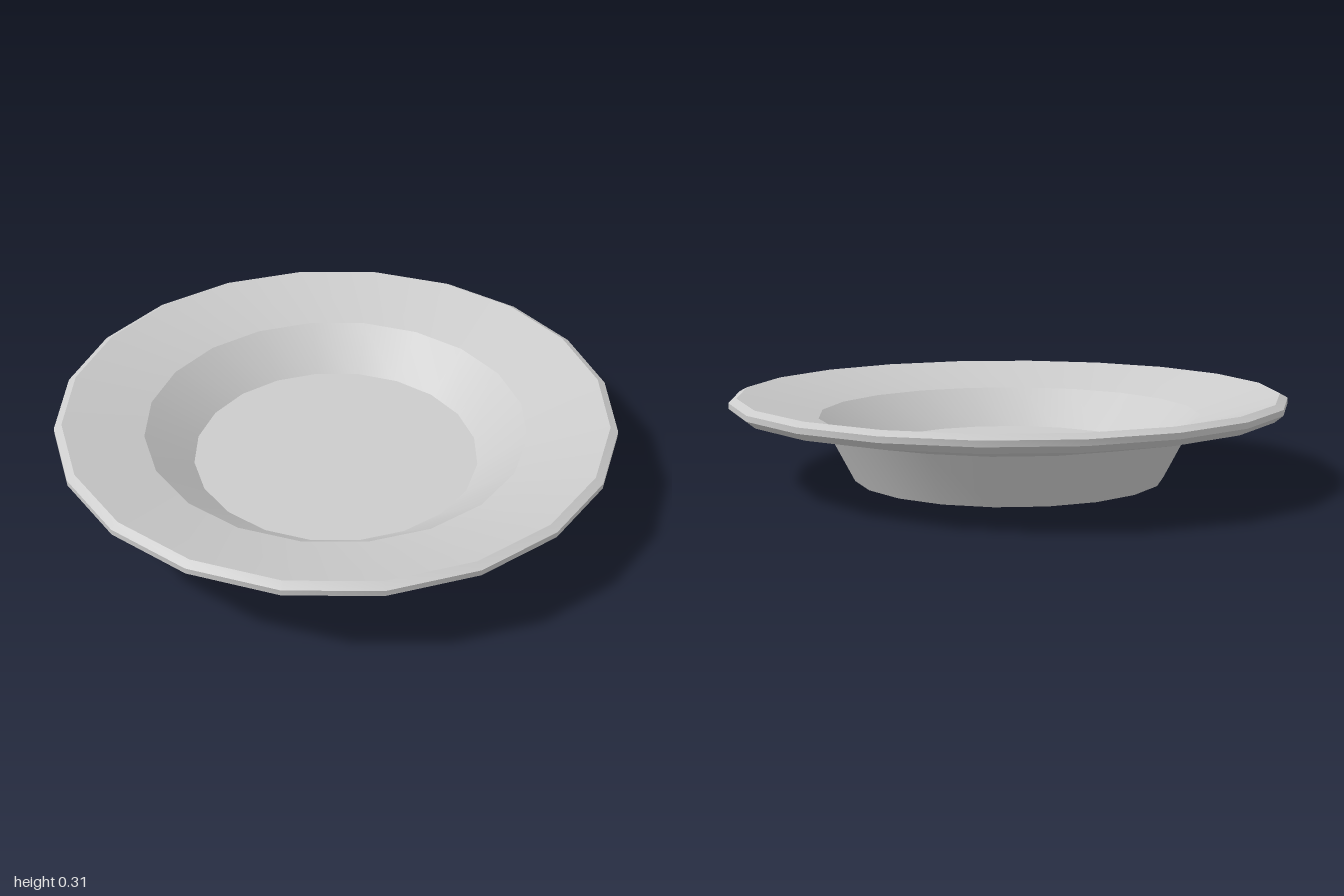
import * as THREE from 'three';
import { toCreasedNormals } from 'three/addons/utils/BufferGeometryUtils.js';

const SIDES = 20;

export function createModel() {
  const group = new THREE.Group();
  group.name = 'soupPlate';

  // Closed cross-section: underside from the centre out, over the lip, back in to the floor
  const profile = [
    [0, 0], [0.565, 0],            // base
    [0.66, 0.185],                 // outer wall of the well
    [0.97, 0.25],                  // underside of the brim
    [1, 0.275], [1, 0.295],        // bevelled lip
    [0.972, 0.31],
    [0.69, 0.23],                  // top of the brim
    [0.52, 0.095], [0, 0.095],     // inner wall and floor of the well
  ].map(([r, y]) => new THREE.Vector2(r, y));

  // Smooth around the plate, sharp between the rings
  const geometry = toCreasedNormals(new THREE.LatheGeometry(profile, SIDES), 0.35);
  const plate = new THREE.Mesh(geometry, new THREE.MeshStandardMaterial({ color: 0xcccccc }));
  plate.name = 'plate';
  group.add(plate);
  return group;
}
